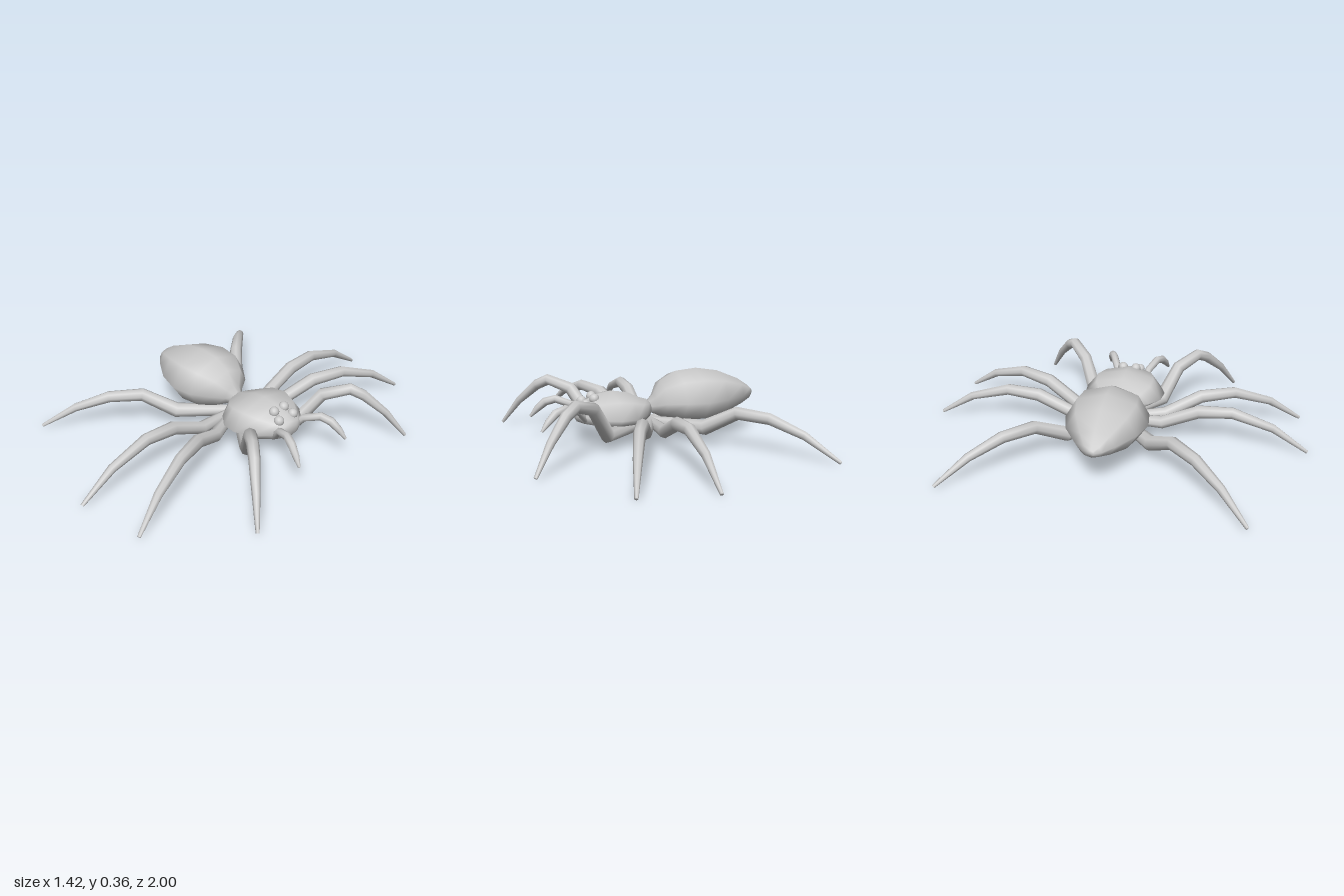
import * as THREE from 'three';

const material = new THREE.MeshStandardMaterial({ color: 0xcccccc });
const V = (x, y, z) => new THREE.Vector3(x, y, z);

// Skin a list of equal-length point rings into a closed, smooth surface.
function loft(name, rings) {
  const n = rings[0].length, last = rings.length - 1;
  const points = rings.flat(), index = [];
  for (let i = 0; i < last; i++) {
    for (let j = 0; j < n; j++) {
      const a = i * n + j, b = i * n + (j + 1) % n, c = a + n, d = b + n;
      index.push(a, b, c, b, d, c);
    }
  }
  for (const end of [0, last]) {
    const centre = points.length;
    points.push(rings[end].reduce((s, p) => s.add(p), V(0, 0, 0)).divideScalar(n));
    for (let j = 0; j < n; j++) {
      const a = end * n + j, b = end * n + (j + 1) % n;
      index.push(centre, ...(end ? [a, b] : [b, a]));
    }
  }
  const geometry = new THREE.BufferGeometry().setFromPoints(points);
  geometry.setIndex(index);
  geometry.computeVertexNormals();
  const mesh = new THREE.Mesh(geometry, material);
  mesh.name = name;
  return mesh;
}

// Body section rows: x, bottom, widest height, top, half width.
function body(name, rows, sides = 8) {
  return loft(name, rows.map(([x, bottom, mid, top, w]) =>
    Array.from({ length: sides }, (_, j) => {
      const a = j / sides * Math.PI * 2, c = Math.cos(a);
      return V(x, mid + c * (c > 0 ? top - mid : mid - bottom), w * Math.sin(a));
    })));
}

// Limb rows: x, y, z, radius; side mirrors it across z.
function limb(name, rows, side, sides = 8) {
  const path = rows.map(([x, y, z]) => V(x, y, z * side));
  return loft(name, path.map((p, i) => {
    const before = path[Math.max(i - 1, 0)], after = path[Math.min(i + 1, path.length - 1)];
    const t = p.clone().sub(before).normalize().add(after.clone().sub(p).normalize()).normalize();
    const s = t.clone().cross(V(0, 1, 0)).normalize();
    const n = s.clone().cross(t);
    return Array.from({ length: sides }, (_, j) => {
      const a = j / sides * Math.PI * 2, r = rows[i][3];
      const q = p.clone().addScaledVector(n, r * Math.cos(a)).addScaledVector(s, r * Math.sin(a));
      q.y = Math.max(q.y, 0);
      return q;
    });
  }));
}

export function createModel() {
  const spider = new THREE.Group();
  spider.name = 'spider';

  spider.add(body('abdomen', [
    [-0.57, 0.20, 0.215, 0.23, 0.015],
    [-0.55, 0.18, 0.215, 0.25, 0.05],
    [-0.49, 0.15, 0.215, 0.29, 0.10],
    [-0.37, 0.105, 0.215, 0.34, 0.178],
    [-0.25, 0.08, 0.21, 0.36, 0.212],
    [-0.14, 0.085, 0.21, 0.35, 0.196],
    [-0.055, 0.11, 0.2, 0.305, 0.13],
    [-0.015, 0.13, 0.18, 0.235, 0.06],
    [0.02, 0.14, 0.17, 0.2, 0.03],
  ]));

  spider.add(body('thorax', [
    [0.0, 0.13, 0.16, 0.19, 0.025],
    [0.025, 0.115, 0.16, 0.21, 0.09],
    [0.065, 0.105, 0.155, 0.222, 0.155],
    [0.13, 0.095, 0.15, 0.252, 0.207],
    [0.21, 0.09, 0.15, 0.265, 0.215],
    [0.29, 0.09, 0.15, 0.25, 0.18],
    [0.36, 0.1, 0.155, 0.22, 0.115],
    [0.395, 0.115, 0.16, 0.2, 0.07],
    [0.405, 0.13, 0.16, 0.18, 0.035],
  ]));

  const legs = {
    hindLeg: [
      [0, 0.09, 0, 0.028], [-0.22, 0.09, 0.22, 0.04], [-0.345, 0.183, 0.345, 0.034],
      [-0.46, 0.175, 0.475, 0.03], [-0.58, 0.115, 0.61, 0.022], [-0.703, 0.008, 0.747, 0.009]],
    middleLeg: [
      [0, 0.09, 0, 0.025], [0, 0.09, 0.24, 0.034], [0, 0.175, 0.43, 0.035],
      [0, 0.188, 0.6, 0.03], [0, 0.125, 0.81, 0.022], [0, 0.008, 0.993, 0.009]],
    secondLeg: [
      [0, 0.09, 0, 0.025], [0.1, 0.09, 0.24, 0.034], [0.17, 0.175, 0.42, 0.035],
      [0.235, 0.185, 0.59, 0.03], [0.3, 0.122, 0.78, 0.022], [0.355, 0.008, 0.943, 0.009]],
    frontLeg: [
      [0.01, 0.09, 0, 0.028], [0.28, 0.08, 0.19, 0.04], [0.37, 0.235, 0.265, 0.034],
      [0.475, 0.273, 0.355, 0.03], [0.53, 0.24, 0.4, 0.028], [0.62, 0.14, 0.48, 0.02],
      [0.703, 0.008, 0.553, 0.009]],
  };
  const palp = [
    [0.36, 0.14, 0.08, 0.02], [0.4, 0.185, 0.09, 0.02], [0.48, 0.213, 0.125, 0.021],
    [0.53, 0.197, 0.145, 0.022], [0.57, 0.16, 0.16, 0.018], [0.605, 0.118, 0.172, 0.007]];

  for (const side of [1, -1]) {
    const label = side > 0 ? 'right' : 'left';
    for (const [name, rows] of Object.entries(legs)) spider.add(limb(`${name} ${label}`, rows, side));
    spider.add(limb(`palp ${label}`, palp, side));

    // Two eyes on each side of the head
    for (const [x, y, z] of [[0.31, 0.235, 0.035], [0.358, 0.21, 0.05]]) {
      const eye = new THREE.Mesh(new THREE.SphereGeometry(0.026, 14, 10), material);
      eye.name = `eye ${label}`;
      eye.position.set(x, y, z * side);
      spider.add(eye);
    }
  }
  return spider;
}
